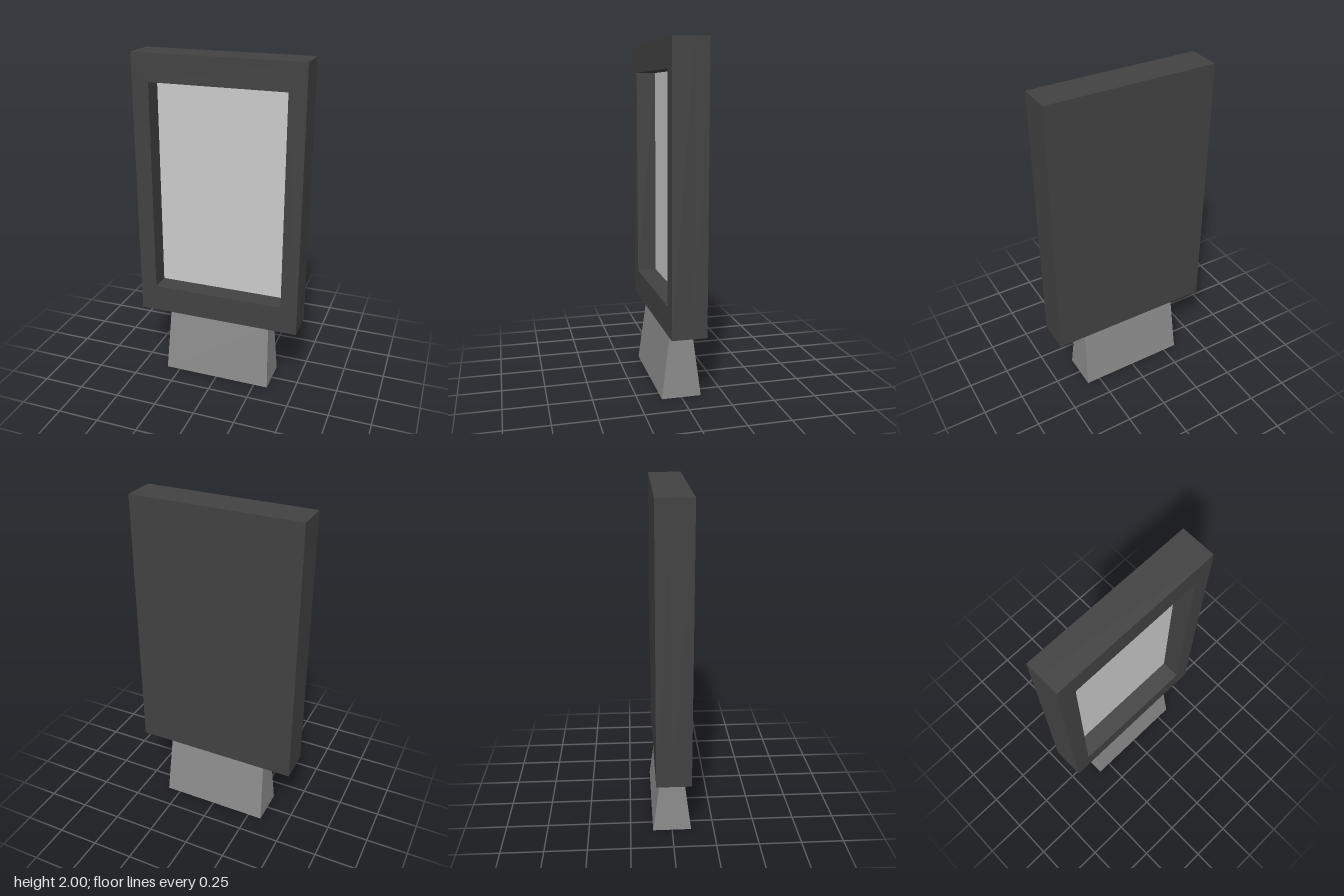
import * as THREE from 'three';

const grey = (color) => new THREE.MeshStandardMaterial({ color, flatShading: true });

function addPart(group, name, geometry, material, x, y, z) {
  const mesh = new THREE.Mesh(geometry, material);
  mesh.name = name;
  mesh.position.set(x, y, z);
  group.add(mesh);
  return mesh;
}

// Adds a rectangle outline to a Shape or Path
function rectangle(path, x0, y0, x1, y1) {
  path.moveTo(x0, y0);
  path.lineTo(x1, y0);
  path.lineTo(x1, y1);
  path.lineTo(x0, y1);
  path.closePath();
  return path;
}

export function createModel() {
  const group = new THREE.Group();
  group.name = 'displayStand';
  const dark = grey(0x424242);

  const bottom = 0.405, top = 2, halfWidth = 0.5, halfDepth = 0.1;
  const open = { x: 0.4, y0: 0.57, y1: 1.84 };
  const recessZ = -0.02;

  // Frame with a deep rectangular opening at the front
  const outline = rectangle(new THREE.Shape(), -halfWidth, bottom, halfWidth, top);
  outline.holes.push(rectangle(new THREE.Path(), -open.x, open.y0, open.x, open.y1));
  addPart(group, 'frame', new THREE.ExtrudeGeometry(outline, {
    depth: halfDepth - recessZ, bevelEnabled: false,
  }), dark, 0, 0, recessZ);

  // Solid back of the housing
  addPart(group, 'backPanel',
    new THREE.BoxGeometry(halfWidth * 2, top - bottom, halfDepth + recessZ),
    dark, 0, (top + bottom) / 2, (recessZ - halfDepth) / 2);

  // Screen at the bottom of the recess
  addPart(group, 'screen', new THREE.PlaneGeometry(open.x * 2, open.y1 - open.y0),
    grey(0xcccccc), 0, (open.y0 + open.y1) / 2, recessZ + 0.002);

  // Pedestal tapering towards the housing
  const pedestal = new THREE.BoxGeometry(0.67, bottom, 0.23);
  const pos = pedestal.attributes.position;
  for (let i = 0; i < pos.count; i++) {
    if (pos.getY(i) > 0) {
      pos.setX(i, Math.sign(pos.getX(i)) * 0.318);
      pos.setZ(i, Math.sign(pos.getZ(i)) * 0.062);
    }
  }
  pedestal.computeVertexNormals();
  addPart(group, 'pedestal', pedestal, grey(0x8a8a8a), 0, bottom / 2, 0);

  return group;
}
